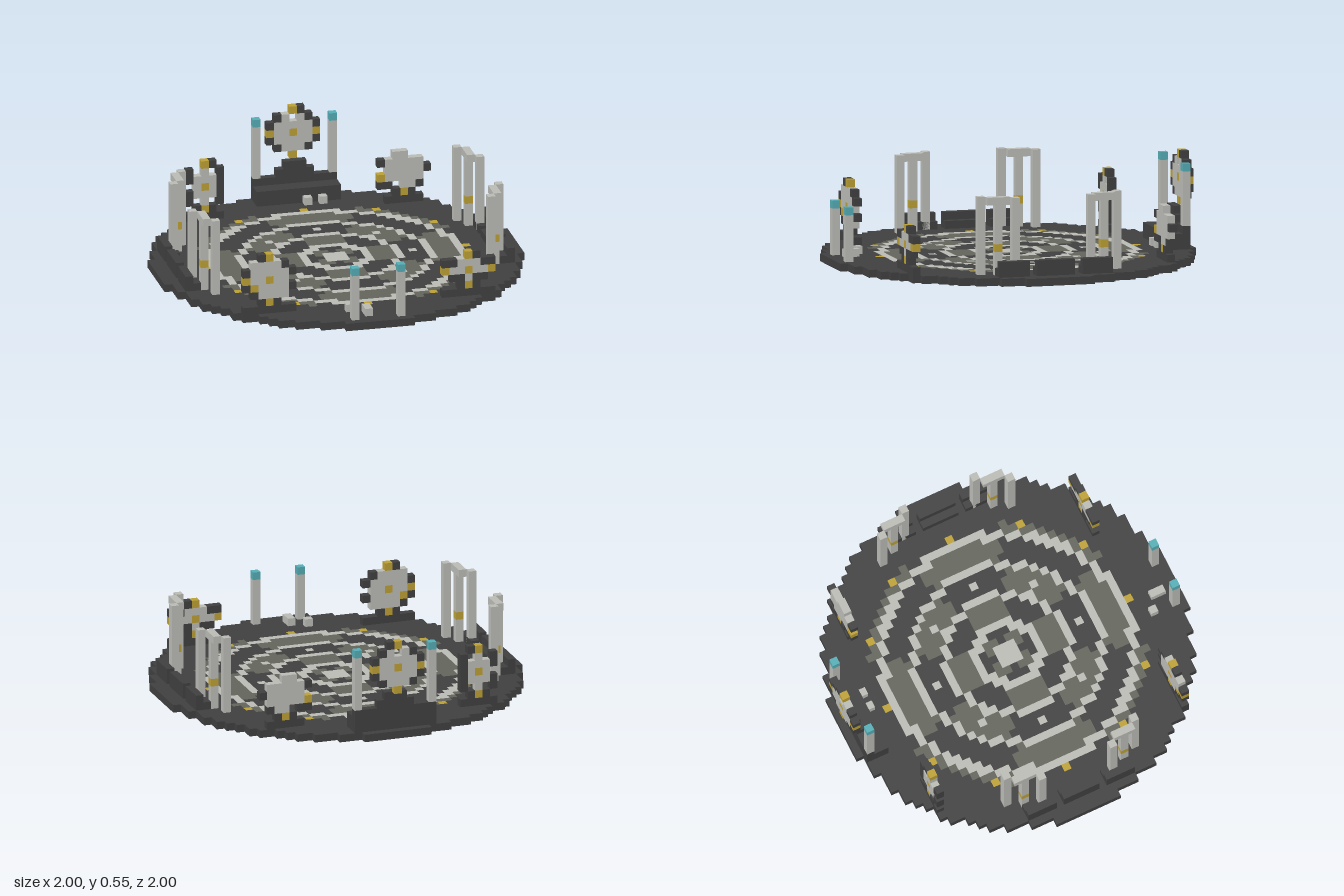
import * as THREE from 'three';
import { mergeGeometries } from 'three/addons/utils/BufferGeometryUtils.js';

const V = 2 / 47; // edge of one block

const material = (name, hex) => {
  const m = new THREE.MeshStandardMaterial({ color: hex });
  m.name = name;
  return m;
};

export function createModel() {
  const model = new THREE.Group();
  model.name = 'arena';
  const mats = {
    D: material('darkStone', 0x404040),
    M: material('mossyStone', 0x63645b),
    L: material('lightStone', 0xbbbbb6),
    G: material('gold', 0xbca034),
    T: material('teal', 0x55adb5),
  };

  // Box filling the block cells from a to b, both included
  const cells = (a, b) => {
    const size = a.map((v, i) => (b[i] - v + 1) * V);
    const g = new THREE.BoxGeometry(...size);
    g.translate(((a[0] + b[0]) / 2) * V, ((a[1] + b[1] + 1) / 2) * V, ((a[2] + b[2]) / 2) * V);
    return g;
  };

  // A named part gathers boxes and makes one mesh per colour
  const part = (name, fill) => {
    const lists = {};
    fill((c, a, b = a) => (lists[c] ??= []).push(cells(a, b)));
    const group = new THREE.Group();
    group.name = name;
    for (const c in lists) {
      const mesh = new THREE.Mesh(mergeGeometries(lists[c]), mats[c]);
      mesh.name = name + '_' + mats[c].name;
      group.add(mesh);
    }
    model.add(group);
  };

  // Floor studs: twelve gold around the rim, eight light ones inside
  const studs = {};
  for (let i = 0; i < 12; i++) {
    const a = (i * Math.PI) / 6;
    const snap = (v) => Math.sign(v) * Math.floor(Math.abs(v) + 0.5001);
    studs[[snap(17 * Math.cos(a)) + 0, snap(17 * Math.sin(a)) + 0]] = 'G';
  }
  for (let i = 0; i < 8; i++) {
    const a = (i * Math.PI) / 4;
    studs[[Math.round(10 * Math.cos(a)) + 0, Math.round(10 * Math.sin(a)) + 0]] = 'L';
  }

  // Floor colour: light rings every four blocks, checkered sectors between
  const floorColour = (x, z) => {
    const stud = studs[[x, z]];
    if (stud) return stud;
    const d = Math.hypot(x, z);
    if (d < 1.5) return 'L';
    if (d > 17.5) return 'D';
    const ring = Math.round(d / 4);
    if (ring > 0 && Math.abs(d - ring * 4) <= 0.5) return 'L';
    const sector = Math.round(Math.atan2(z, x) / (Math.PI / 4));
    return (Math.floor(d / 4) + sector) & 1 ? 'M' : 'D';
  };

  part('floor', (add) => {
    for (let z = -23; z <= 23; z++) {
      const half = Math.floor(Math.sqrt(546 - z * z));
      let start = -half;
      for (let x = -half; x <= half; x++) {
        const c = floorColour(x, z);
        if (x === half || floorColour(x + 1, z) !== c) {
          add(c, [start, 0, z], [x, 0, z]);
          start = x + 1;
        }
      }
    }
  });

  // Diagonal gates of three posts and a stepped lintel, in all four quarters
  for (const sx of [-1, 1]) {
    for (const sz of [-1, 1]) {
      part('gate', (add) => {
        for (const [x, z] of [[18, 9], [19, 7], [20, 5]]) {
          if (x === 19) {
            add('L', [sx * x, 1, sz * z], [sx * x, 3, sz * z]);
            add('G', [sx * x, 4, sz * z]);
            add('L', [sx * x, 5, sz * z], [sx * x, 10, sz * z]);
          } else add('L', [sx * x, 1, sz * z], [sx * x, 10, sz * z]);
        }
        add('L', [sx * 19, 10, sz * 8]);
        add('L', [sx * 19, 10, sz * 6]);
      });
    }
    // Benches along the side, with a low seat and a higher back
    for (const [z0, z1] of [[-7, -4], [-2, 2], [4, 7]]) {
      part('bench', (add) => {
        add('D', [sx * 21, 1, z0], [sx * 21, 2, z1]);
        add('D', [sx * 20, 1, z0], [sx * 20, 1, z1]);
      });
    }
  }

  // Pillars with glowing tops
  const pillar = (name, x, y0, y1, z) => part(name, (add) => {
    add('L', [x, y0, z], [x, y1 - 1, z]);
    add('T', [x, y1, z]);
  });
  for (const s of [-1, 1]) {
    pillar('frontPillar', s * 3, 1, 7, 22);
    pillar('backPillar', s * 5, 4, 11, -22);
  }

  // Stepped platform under the back emblem
  part('platform', (add) => {
    add('D', [-5, 1, -21], [5, 2, -20]);
    add('D', [-5, 1, -22], [5, 3, -22]);
    add('D', [-2, 4, -22], [2, 4, -22]);
    add('D', [-1, 5, -22], [1, 5, -22]);
  });

  // Loose stones
  part('rubble', (add) => {
    add('L', [-3, 1, 19]);
    add('L', [-1, 1, 20], [-1, 1, 21]);
    add('L', [1, 1, -19]);
    add('L', [3, 1, -19]);
  });

  // Weathered round emblems, drawn in rows from the top down
  const emblem = (name, cx, top, z, rows, base) => part(name, (add) => {
    rows.forEach((row, j) => [...row].forEach((c, i) => {
      if (c !== '.') add(c, [cx - 3 + i, top - j, z]);
    }));
    if (base) add('D', [cx - base, 1, z], [cx + base, 1, z]);
  });

  emblem('backEmblem', 0, 12, -23,
    ['...GD..', '.DL.LD.', 'DLLLLLD', 'GLLGLLG', 'DLLLLLD', '.DLLLD.', '...G...'], 0);
  emblem('frontLeftWheel', 13, 6, 17,
    ['...GD..', 'DDLLLDD', 'GLLGLLG', '.DDLDD.', '..DGD..'], 3);
  emblem('frontRightWheel', -13, 8, 17,
    ['..DG...', '.LLLLD.', 'DLLLLLD', 'GLLGLL.', 'DGLLLLD', '.DLLLL.', '..DGD..'], 3);
  emblem('backLeftWheel', 13, 7, -17,
    ['..LL...', 'DLLLLL.', '.LLLLLD', 'GLLLLL.', 'DD.LLD.', '..DGD..'], 2);
  emblem('backRightWheel', -13, 8, -17,
    ['...GD..', '.D.L.D.', '.DLLLD.', '..LGLD.', '.DLLLD.', '.D.L.D.', '..DGD..'], 2);

  return model;
}
